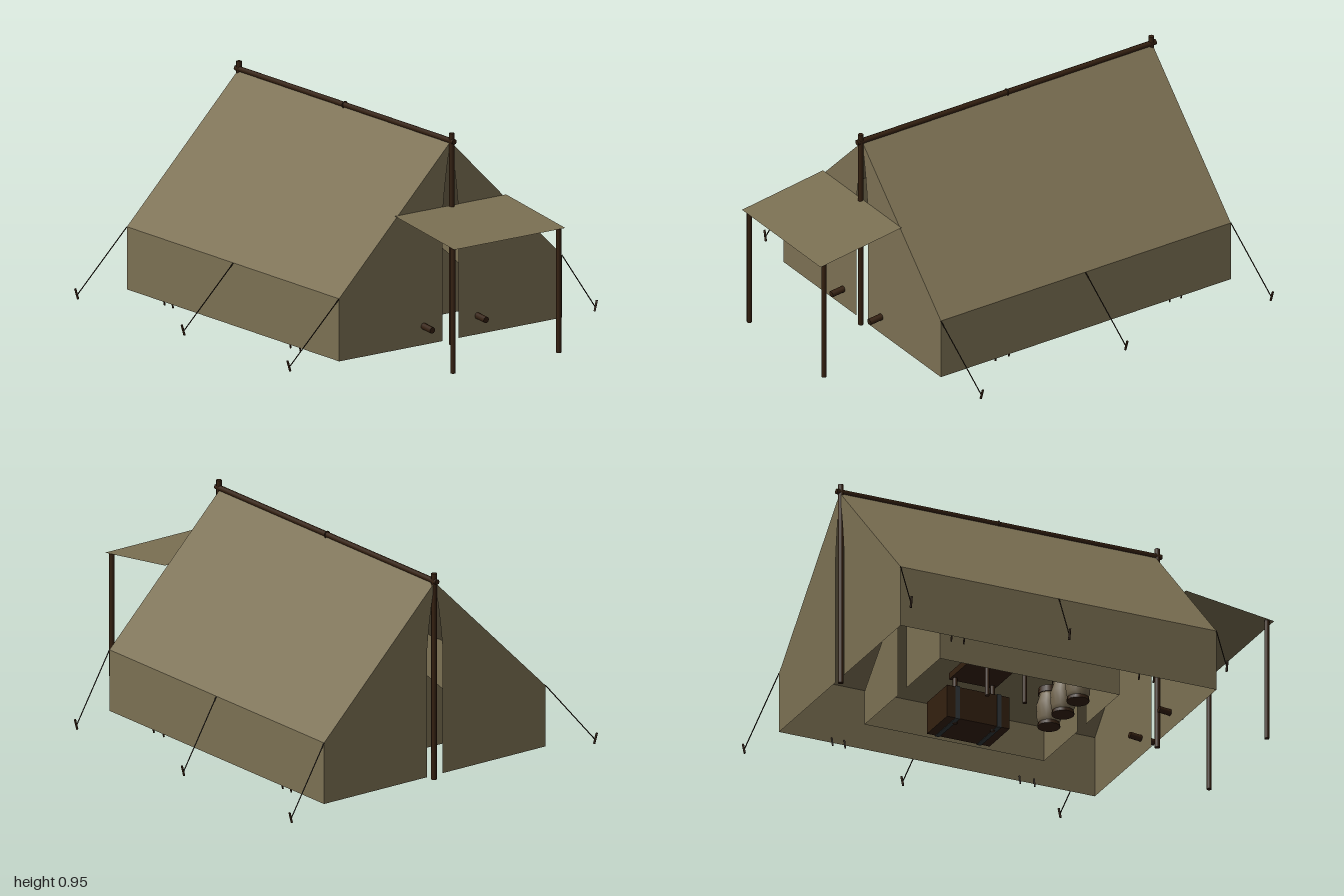
import * as THREE from 'three';

const mat = (name, color, side = THREE.FrontSide) => {
  const m = new THREE.MeshStandardMaterial({ color, side });
  m.name = name;
  return m;
};
const canvas = mat('olive canvas', 0x7b7053, THREE.DoubleSide);
const wood = mat('dark wood', 0x342010);
const rope = mat('dark rope', 0x241c12);
const slate = mat('slate metal', 0x33393b);
const clay = mat('tan clay', 0x756850);

function add(parent, name, geometry, material, x = 0, y = 0, z = 0) {
  const m = new THREE.Mesh(geometry, material);
  m.name = name;
  m.position.set(x, y, z);
  parent.add(m);
  return m;
}

const box = (p, name, material, w, h, d, x, y, z) =>
  add(p, name, new THREE.BoxGeometry(w, h, d), material, x, y, z);

// Round bar between two points
function bar(parent, name, a, b, r, material, sides = 8) {
  const from = new THREE.Vector3(...a), to = new THREE.Vector3(...b);
  const dir = to.clone().sub(from);
  const m = add(parent, name, new THREE.CylinderGeometry(r, r, dir.length(), sides), material);
  m.position.copy(from).add(to).multiplyScalar(0.5);
  m.quaternion.setFromUnitVectors(new THREE.Vector3(0, 1, 0), dir.normalize());
  return m;
}

// Flat four-cornered sheet of cloth
function sheet(parent, name, corners) {
  const g = new THREE.BufferGeometry();
  g.setAttribute('position', new THREE.Float32BufferAttribute(corners.flat(), 3));
  g.setIndex([0, 1, 2, 0, 2, 3]);
  g.computeVertexNormals();
  return add(parent, name, g, canvas);
}

// Ridge tent of cloth: two roof slopes, two side walls, split gables
function tentCloth(parent, name, { half, eave, ridge, base, front, back, gap }) {
  const g = new THREE.Group();
  g.name = name;
  parent.add(g);
  for (const s of [-1, 1]) {
    const x = s * half;
    sheet(g, 'roofSlope', [[0, ridge, front], [x, eave, front], [x, eave, back], [0, ridge, back]]
      .sort(() => 0)).scale.x = 1;
    sheet(g, 'sideWall', [[x, eave, front], [x, base, front], [x, base, back], [x, eave, back]]);
    const gable = new THREE.Shape();
    gable.moveTo(s * gap, base);
    gable.lineTo(x, base);
    gable.lineTo(x, eave);
    gable.lineTo(0, ridge);
    gable.quadraticCurveTo(s * gap * 0.75, ridge * 0.82, s * gap, ridge * 0.65);
    gable.closePath();
    for (const z of [front, back]) add(g, 'gableFlap', new THREE.ShapeGeometry(gable, 8), canvas, 0, 0, z);
  }
  return g;
}

export function createModel() {
  const model = new THREE.Group();
  model.name = 'ridgeTent';
  const tent = new THREE.Group();
  tent.name = 'tent';
  tent.position.x = 0.004;
  model.add(tent);

  // Outer cloth and smaller inner tent
  tentCloth(tent, 'outerTent', { half: 0.605, eave: 0.3, ridge: 0.905, base: 0.02, front: 0.575, back: -0.94, gap: 0.043 });
  tentCloth(tent, 'innerTent', { half: 0.375, eave: 0.18, ridge: 0.53, base: 0.02, front: 0.22, back: -0.64, gap: 0.043 });

  // Main poles and ridge beam
  for (const z of [0.583, -0.935]) bar(tent, 'mainPole', [0, 0, z], [0, 0.945, z], 0.0125, wood);
  bar(tent, 'ridgeBeam', [0, 0.91, 0.603], [0, 0.91, -0.957], 0.0125, wood);

  // Awning on two posts
  sheet(tent, 'awning', [[-0.302, 0.62, 0.575], [-0.302, 0.56, 0.998], [0.302, 0.56, 0.998], [0.302, 0.62, 0.575]]);
  for (const s of [-1, 1]) {
    bar(tent, 'awningPost', [s * 0.287, 0, 0.97], [s * 0.287, 0.562, 0.97], 0.0115, wood);
    // Short log ends beside the door
    bar(tent, 'logEnd', [s * 0.146, 0.109, 0.52], [s * 0.146, 0.097, 0.638], 0.0145, wood, 10);

    // Guy ropes and their stakes
    for (const z of [0.575, -0.18, -0.94]) {
      bar(tent, 'guyRope', [s * 0.605, 0.3, z], [s * 0.828, 0.022, z - 0.058], 0.0025, rope, 5);
      bar(tent, 'stake', [s * 0.84, 0.048, z - 0.06], [s * 0.826, 0, z - 0.058], 0.005, wood, 6);
    }
    // Small pegs along the wall foot
    for (const z of [0.28, 0.21, -0.63, -0.69])
      bar(tent, 'wallPeg', [s * 0.598, 0.04, z], [s * 0.59, 0, z], 0.004, wood, 6);
  }

  // Lantern hung from the ridge
  const lantern = new THREE.Group();
  lantern.name = 'lantern';
  lantern.position.set(0, 0, -0.18);
  tent.add(lantern);
  add(lantern, 'lanternRing', new THREE.TorusGeometry(0.014, 0.003, 6, 14), wood, 0, 0.91, 0);
  bar(lantern, 'lanternCord', [0, 0.9, 0], [0, 0.8, 0], 0.003, rope, 5);
  add(lantern, 'lanternBody', new THREE.CylinderGeometry(0.022, 0.032, 0.08, 8), slate, 0, 0.75, 0);
  add(lantern, 'lanternCap', new THREE.ConeGeometry(0.03, 0.025, 8), wood, 0, 0.802, 0);
  add(lantern, 'lanternBase', new THREE.CylinderGeometry(0.034, 0.034, 0.012, 8), wood, 0, 0.704, 0);

  // Table with a box on top
  box(tent, 'tableTop', wood, 0.36, 0.03, 0.22, 0, 0.23, -0.22);
  for (const x of [-0.16, 0.16]) for (const z of [-0.31, -0.13])
    bar(tent, 'tableLeg', [x, 0, z], [x, 0.22, z], 0.011, wood);
  box(tent, 'tableBox', slate, 0.2, 0.13, 0.14, 0, 0.31, -0.22);

  // Chest with metal bands
  box(tent, 'chest', wood, 0.2, 0.15, 0.3, 0.215, 0.08, -0.22);
  for (const z of [-0.32, -0.12]) box(tent, 'chestBand', slate, 0.206, 0.156, 0.02, 0.215, 0.08, z);

  // Row of three lidded jars
  const profile = [[0, 0], [0.04, 0], [0.052, 0.03], [0.055, 0.1], [0.042, 0.14], [0.042, 0.15], [0, 0.15]]
    .map(([r, y]) => new THREE.Vector2(r, y));
  for (const x of [-0.275, -0.125, 0.015]) {
    add(tent, 'jar', new THREE.LatheGeometry(profile, 14), clay, x, 0.004, 0.07);
    add(tent, 'jarLid', new THREE.CylinderGeometry(0.045, 0.048, 0.03, 14), wood, x, 0.168, 0.07);
    add(tent, 'jarFoot', new THREE.CylinderGeometry(0.048, 0.05, 0.016, 14), wood, x, 0.008, 0.07);
  }
  return model;
}
